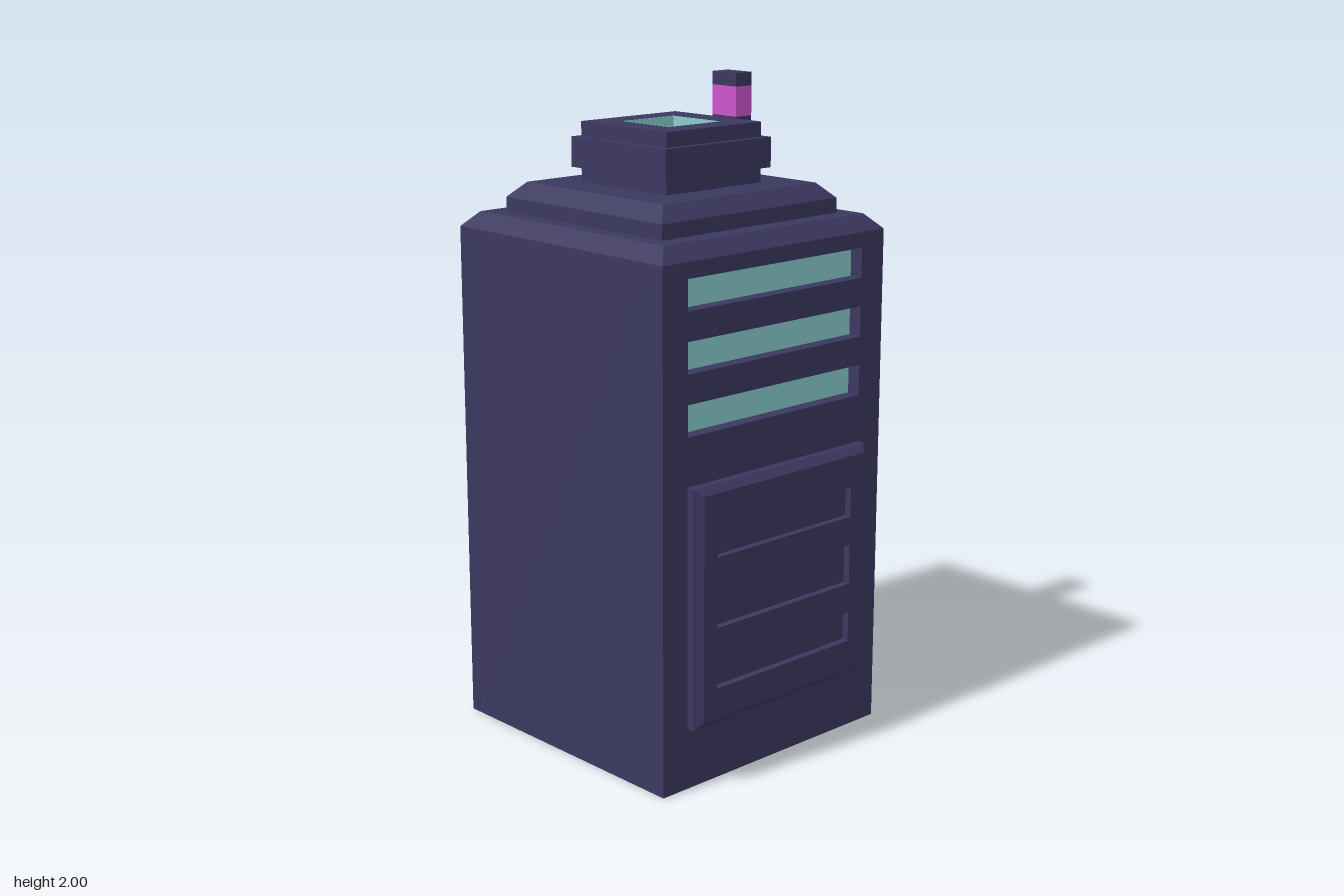
import * as THREE from 'three';

const dark = new THREE.MeshStandardMaterial({ color: 0x3b385f, flatShading: true });
const teal = new THREE.MeshStandardMaterial({ color: 0x8accce, flatShading: true });
const pink = new THREE.MeshStandardMaterial({ color: 0xcc55cc, flatShading: true });

function add(parent, name, geometry, material = dark) {
  const mesh = new THREE.Mesh(geometry, material);
  mesh.name = name;
  parent.add(mesh);
  return mesh;
}

// Box given by its limits; a positive inset narrows the top into a bevel
function block(x0, x1, y0, y1, z0, z1, inset = 0) {
  const w = x1 - x0, h = y1 - y0, d = z1 - z0;
  const geo = new THREE.BoxGeometry(w, h, d).toNonIndexed();
  const p = geo.attributes.position;
  for (let i = 0; i < p.count; i++) {
    if (p.getY(i) > 0) {
      p.setX(i, p.getX(i) - Math.sign(p.getX(i)) * inset);
      p.setZ(i, p.getZ(i) - Math.sign(p.getZ(i)) * inset);
    }
  }
  geo.translate((x0 + x1) / 2, (y0 + y1) / 2, (z0 + z1) / 2);
  geo.computeVertexNormals();
  return geo;
}

function trace(path, [x0, x1, y0, y1]) {
  path.moveTo(x0, y0);
  path.lineTo(x1, y0);
  path.lineTo(x1, y1);
  path.lineTo(x0, y1);
  path.closePath();
  return path;
}

// Rectangular plate with rectangular openings, extruded towards +z;
// flare widens the outer rim at the back
function plate(rect, holes, depth, flare = 0) {
  const shape = trace(new THREE.Shape(), rect);
  shape.holes = holes.map((h) => trace(new THREE.Path(), h));
  const geo = new THREE.ExtrudeGeometry(shape, { depth, bevelEnabled: false });
  const [x0, x1, y0, y1] = rect;
  const p = geo.attributes.position;
  const near = (a, b) => Math.abs(a - b) < 1e-5;
  for (let i = 0; i < p.count; i++) {
    if (p.getZ(i) > depth / 2) continue;
    const x = p.getX(i), y = p.getY(i);
    if (near(x, x0)) p.setX(i, x - flare);
    if (near(x, x1)) p.setX(i, x + flare);
    if (near(y, y0)) p.setY(i, y - flare);
    if (near(y, y1)) p.setY(i, y + flare);
  }
  geo.computeVertexNormals();
  return geo;
}

export function createModel() {
  const model = new THREE.Group();
  model.name = 'tower';
  const W = 0.447, back = -0.47, front = 0.425, slotDepth = 0.045;

  // Main body with slotted front and back walls
  const body = new THREE.Group();
  body.name = 'body';
  model.add(body);
  add(body, 'core', block(-W, W, 0, 1.555, back + slotDepth, front - slotDepth));
  const slots = [[1.06, 1.153], [1.24, 1.332], [1.418, 1.508]].map(([a, b]) => [-0.353, 0.353, a, b]);
  for (const side of [1, -1]) {
    const name = side > 0 ? 'front' : 'back';
    const z = side > 0 ? front - slotDepth : back + slotDepth;
    const wall = new THREE.Group();
    wall.name = name + 'Wall';
    wall.position.z = z;
    wall.rotation.y = side > 0 ? 0 : Math.PI;
    body.add(wall);
    add(wall, name + 'Panel', plate([-W, W, 0, 1.555], slots, slotDepth));
    for (const [x0, x1, y0, y1] of slots) {
      add(wall, name + 'LightStrip', block(x0, x1, y0, y1, -0.01, 0.002), teal);
    }
  }
  add(body, 'bodyBevel', block(-W, W, 1.555, 1.6, back, front, 0.044));

  // Stepped roof
  add(model, 'roofStep', block(-0.352, 0.352, 1.6, 1.645, -0.365, 0.32));
  add(model, 'roofBevel', block(-0.352, 0.352, 1.645, 1.69, -0.365, 0.32, 0.045));

  // Chimney with collar and a lit recess in its top
  const chimney = new THREE.Group();
  chimney.name = 'chimney';
  chimney.position.z = -0.023;
  model.add(chimney);
  add(chimney, 'neck', block(-0.19, 0.19, 1.69, 1.83, -0.185, 0.185));
  add(chimney, 'collar', block(-0.212, 0.212, 1.735, 1.825, -0.205, 0.205));
  const opening = [-0.103, 0.103, -0.101, 0.101];
  const rim = add(chimney, 'rim', plate([-0.19, 0.19, -0.185, 0.185], [opening], 0.04));
  const lining = add(chimney, 'recessLining', plate(opening, [[-0.1, 0.1, -0.098, 0.098]], 0.04), teal);
  for (const part of [rim, lining]) {
    part.rotation.x = -Math.PI / 2;
    part.position.y = 1.83;
  }
  add(chimney, 'recessLight', block(-0.102, 0.102, 1.82, 1.832, -0.1, 0.1), teal);

  // Antenna with a coloured band
  const antenna = new THREE.Group();
  antenna.name = 'antenna';
  model.add(antenna);
  for (const [name, y0, y1, mat] of [
    ['antennaMast', 1.69, 1.87, dark], ['antennaBand', 1.87, 1.96, pink], ['antennaTip', 1.96, 2, dark],
  ]) add(antenna, name, block(0.218, 0.283, y0, y1, -0.074, 0.028), mat);

  // Front door: backing slab and a bevelled, grooved face
  const door = new THREE.Group();
  door.name = 'door';
  model.add(door);
  add(door, 'doorSlab', block(-0.353, 0.353, 0.188, 0.915, front, 0.448));
  const grooves = [[0.305, 0.397], [0.49, 0.614], [0.703, 0.794]].map(([a, b]) => [-0.278, 0.278, a, b]);
  add(door, 'doorFace', plate([-0.331, 0.331, 0.21, 0.893], grooves, 0.022, 0.022)).position.z = 0.448;

  return model;
}
